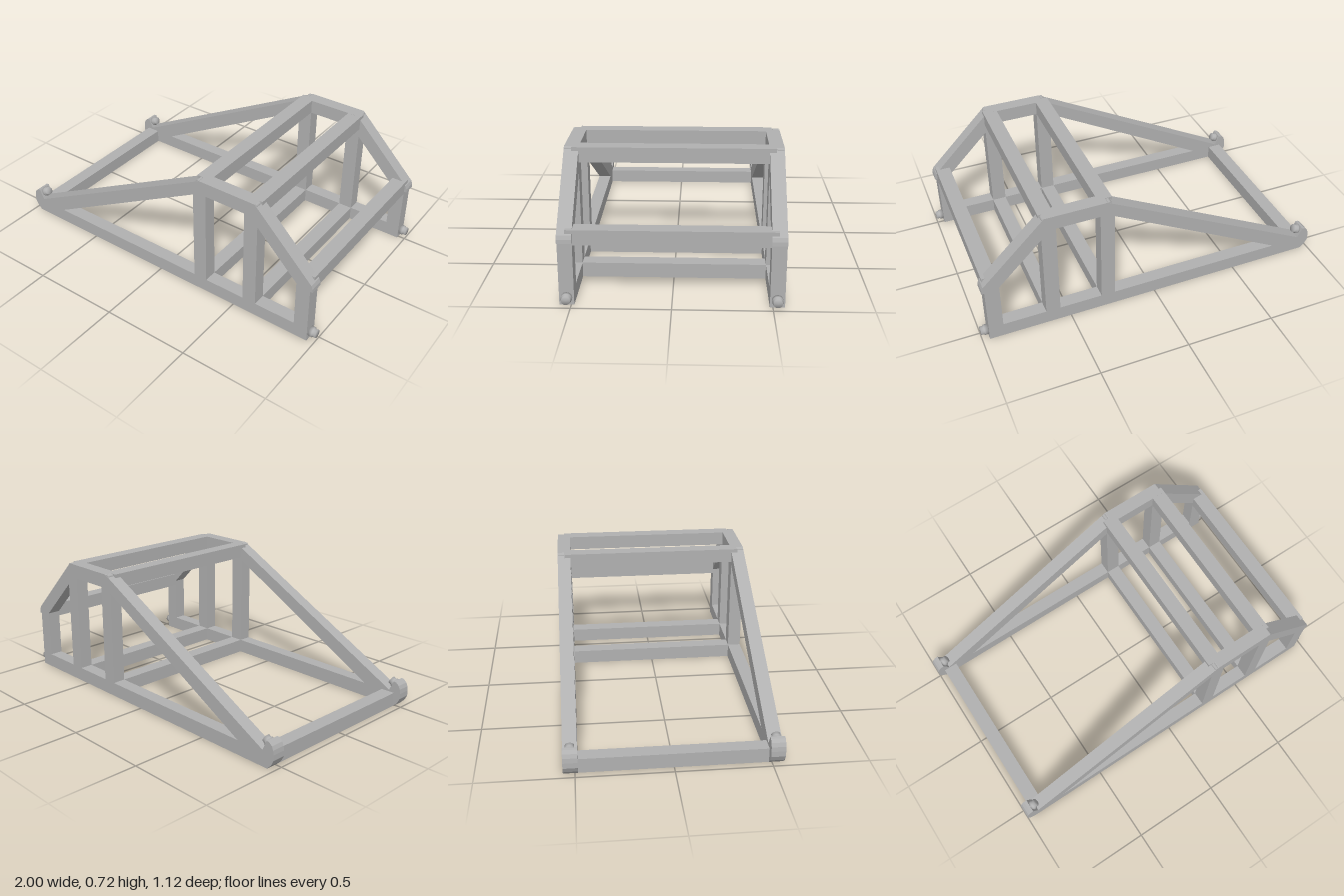
import * as THREE from 'three';

const grey = new THREE.MeshStandardMaterial({ color: 0xb0b0b0 });
grey.name = 'grey';

const path = (T, pts) => new T(pts.map(([x, y]) => new THREE.Vector2(x, y)));

function add(parent, name, geometry, x = 0, y = 0, z = 0) {
  const mesh = new THREE.Mesh(geometry, grey);
  mesh.name = name;
  mesh.position.set(x, y, z);
  parent.add(mesh);
  return mesh;
}

// Stepped round stud, pointing along +x before tilting
function stud(parent, name, x, y, z, tilt) {
  const g = new THREE.Group();
  g.name = name;
  const profile = [[0, 0], [0.028, 0], [0.028, 0.02], [0.023, 0.023], [0.023, 0.04], [0, 0.04]];
  const lathe = new THREE.LatheGeometry(profile.map(([r, h]) => new THREE.Vector2(r, h)), 24);
  lathe.rotateZ(-Math.PI / 2);
  add(g, name + 'Body', lathe);
  g.position.set(x, y, z);
  g.rotation.z = tilt;
  parent.add(g);
}

export function createModel() {
  const model = new THREE.Group();
  model.name = 'rampFrame';

  // Side truss outline, with the hooked toe on -x and the hinge lip on +x
  const outline = path(THREE.Shape, [
    [-0.96, 0], [0.96, 0], [0.96, 0.335], [0.975, 0.335], [0.973, 0.355], [0.965, 0.375],
    [0.94, 0.40], [0.62, 0.72], [0.28, 0.72], [-0.927, 0.09], [-0.955, 0.148],
    [-0.972, 0.145], [-0.988, 0.13], [-0.997, 0.11], [-1, 0.085], [-1, 0.055], [-0.985, 0.025],
  ]);
  outline.holes = [
    [[-0.76, 0.08], [0.24, 0.62], [0.24, 0.08]],
    [[0.32, 0.08], [0.32, 0.64], [0.56, 0.64], [0.56, 0.08]],
    [[0.64, 0.08], [0.64, 0.59], [0.88, 0.35], [0.88, 0.08]],
  ].map((p) => path(THREE.Path, p));
  const truss = new THREE.ExtrudeGeometry(outline, { depth: 0.075, bevelEnabled: false });

  for (const [label, s] of [['front', 1], ['back', -1]]) {
    const side = new THREE.Group();
    side.name = label + 'Side';
    model.add(side);
    add(side, label + 'Truss', truss, 0, 0, s > 0 ? 0.485 : -0.56);
    stud(side, label + 'HeelStud', 0.96, 0.04, s * 0.522, 0);
    stud(side, label + 'ToeStud', -0.95, 0.118, s * 0.522, 0.48);
    // Hinge pins at the two upper corners
    for (const x of [0.268, 0.62]) {
      const pin = new THREE.CylinderGeometry(0.012, 0.012, 0.035, 12);
      pin.rotateX(Math.PI / 2);
      add(side, label + 'HingePin', pin, x, 0.708, s * 0.54);
    }
  }

  // Cross beams joining the two sides: [name, x, y, length]
  const beams = [
    ['toeBeam', -0.92, 0.04, 0.98],
    ['lowerRearBeam', 0.28, 0.04, 0.98],
    ['lowerMiddleBeam', 0.60, 0.04, 0.98],
    ['upperRearBeam', 0.28, 0.68, 1.04],
    ['upperMiddleBeam', 0.60, 0.68, 1.04],
    ['heelBeam', 0.92, 0.36, 1.04],
  ];
  for (const [name, x, y, len] of beams) {
    add(model, name, new THREE.BoxGeometry(0.0798, 0.0798, len), x, y, 0);
  }
  return model;
}
